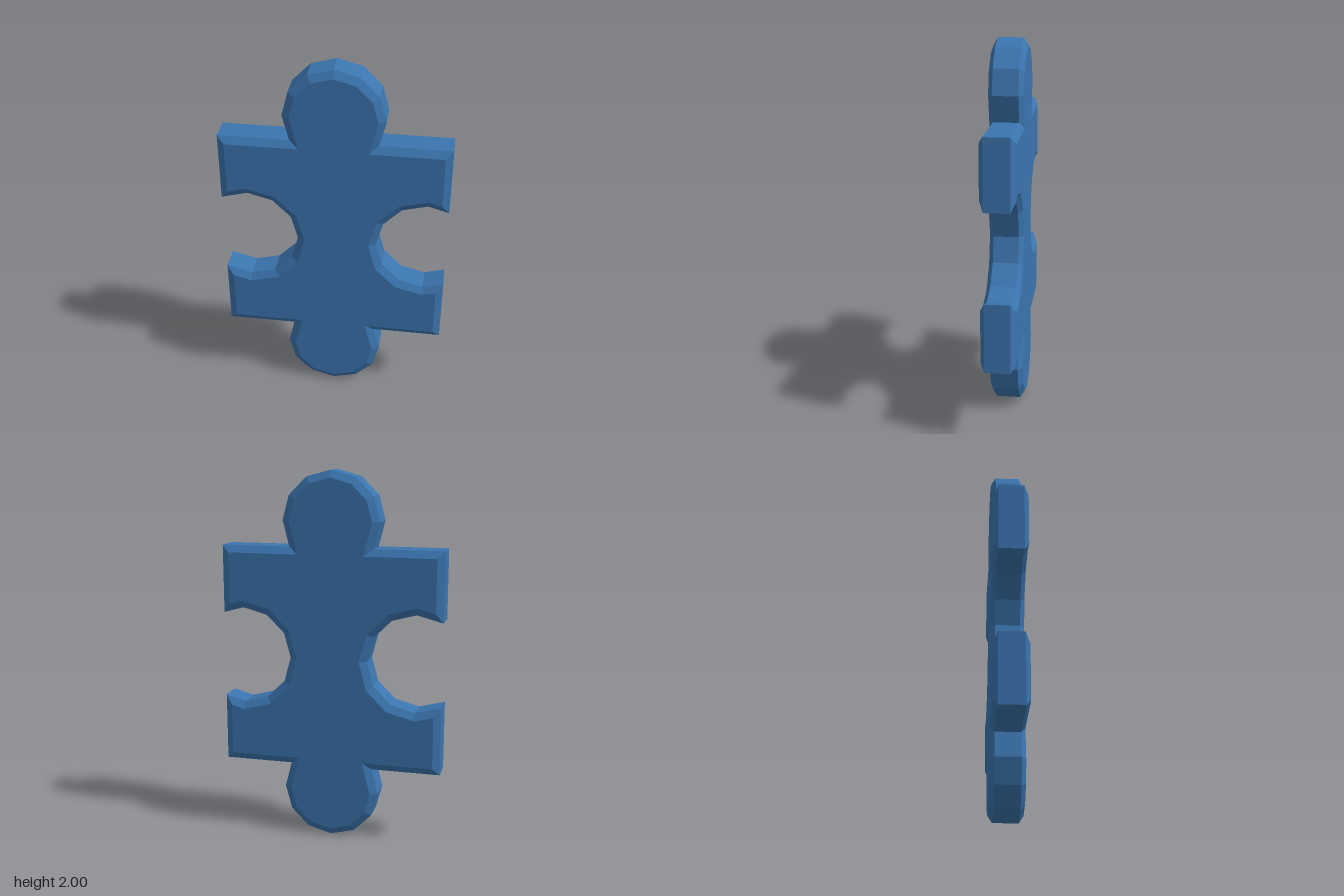
import * as THREE from 'three';

const INSET = 0.038, Z_RIM = 0.066, Z_FACE = 0.09;

// Points on a twelve-sided circle, stepped in 30 degree turns
function arc(cx, cy, r, from, to) {
  const pts = [], step = Math.sign(to - from) * 30;
  for (let a = from; a !== to + step; a += step) {
    const t = THREE.MathUtils.degToRad(a);
    pts.push(new THREE.Vector2(cx + r * Math.cos(t), cy + r * Math.sin(t)));
  }
  return pts;
}

// Counter-clockwise outline: two knobs, four arms, two side sockets
function pieceOutline() {
  const v = (x, y) => new THREE.Vector2(x, y);
  const lower = arc(0, 0.262, 0.262, 150, 390);
  const upper = arc(0, 1.738, 0.262, -30, 210);
  lower[0].y = lower.at(-1).y = 0.4;
  upper[0].y = upper.at(-1).y = 1.6;
  return [
    ...lower, v(0.6, 0.4), v(0.6, 0.767),
    ...arc(0.49, 1, 0.264, 270, 90), v(0.6, 1.233), v(0.6, 1.6),
    ...upper, v(-0.6, 1.6), v(-0.6, 1.227),
    ...arc(-0.46, 1, 0.264, 90, -90), v(-0.6, 0.773), v(-0.6, 0.4),
  ];
}

// Mitred inset of a counter-clockwise outline
function inset(pts, d) {
  const n = pts.length;
  const normal = (a, b) => new THREE.Vector2(a.y - b.y, b.x - a.x).normalize();
  return pts.map((p, i) => {
    const n1 = normal(pts[(i + n - 1) % n], p), n2 = normal(p, pts[(i + 1) % n]);
    return n1.clone().add(n2).multiplyScalar(d / (1 + n1.dot(n2))).add(p);
  });
}

function buildPiece() {
  const outer = pieceOutline(), inner = inset(outer, INSET), n = outer.length;
  const rings = [[inner, -Z_FACE], [outer, -Z_RIM], [outer, Z_RIM], [inner, Z_FACE]];
  const pos = [];
  const put = ([pts, z], i) => pos.push(pts[i % n].x, pts[i % n].y, z);
  // Side wall and both bevels
  for (let k = 0; k < 3; k++) {
    const a = rings[k], b = rings[k + 1];
    for (let i = 0; i < n; i++) {
      put(a, i); put(a, i + 1); put(b, i + 1);
      put(a, i); put(b, i + 1); put(b, i);
    }
  }
  // Flat front and back faces
  for (const [i, j, k] of THREE.ShapeUtils.triangulateShape(inner, [])) {
    put(rings[3], i); put(rings[3], j); put(rings[3], k);
    put(rings[0], i); put(rings[0], k); put(rings[0], j);
  }
  const geo = new THREE.BufferGeometry();
  geo.setAttribute('position', new THREE.Float32BufferAttribute(pos, 3));
  geo.computeVertexNormals();
  return geo;
}

export function createModel() {
  const blue = new THREE.MeshStandardMaterial({ color: 0x3b75af, flatShading: true });
  blue.name = 'blue';
  const piece = new THREE.Mesh(buildPiece(), blue);
  piece.name = 'puzzlePiece';
  const group = new THREE.Group();
  group.name = 'jigsawPiece';
  group.add(piece);
  return group;
}
